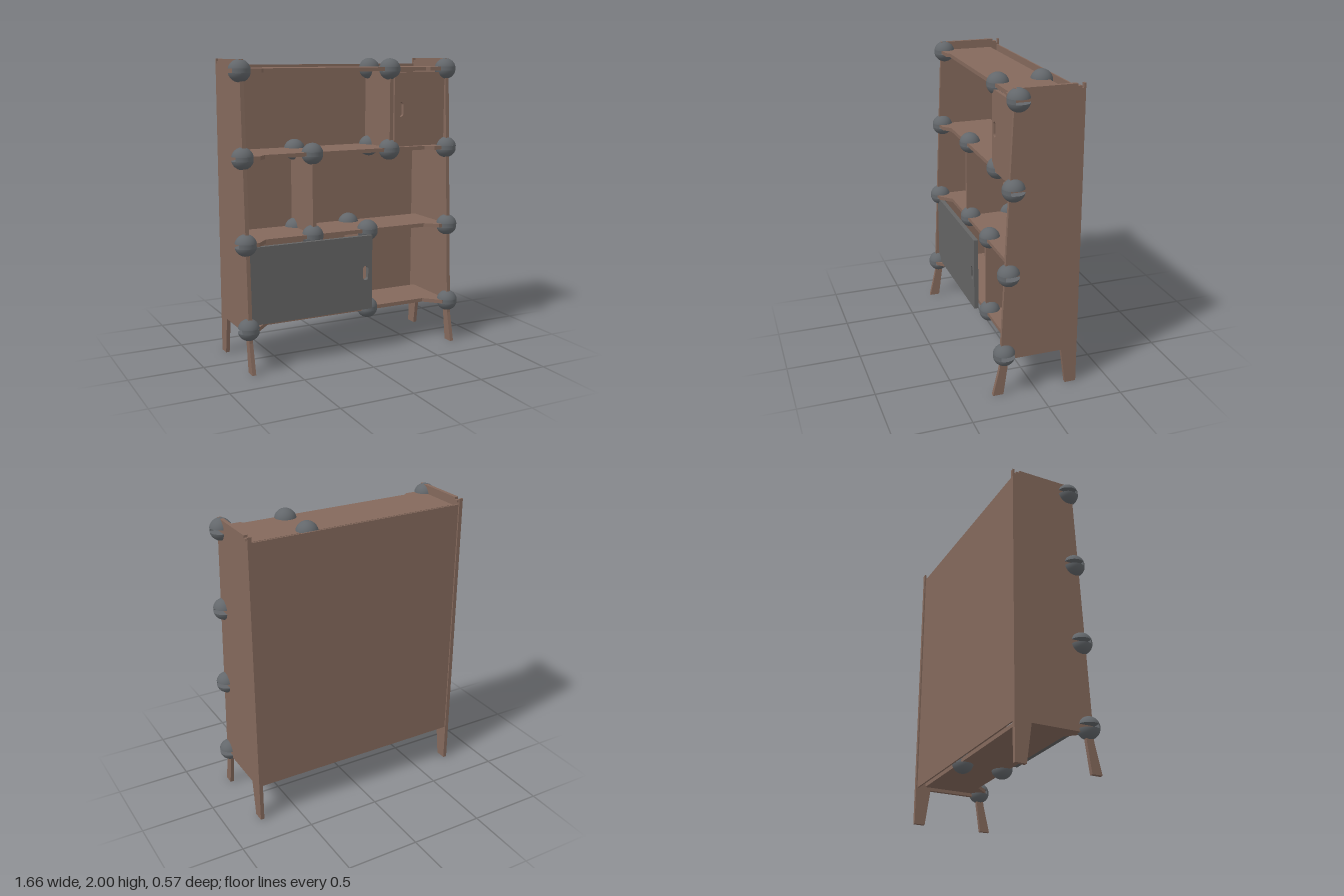
import * as THREE from 'three';
import { mergeGeometries } from 'three/addons/utils/BufferGeometryUtils.js';

const T = 0.026;              // board thickness
const R = 0.072;              // connector ball radius
const BACK = -0.215, FRONT = 0.135;
const LEVELS = [0.285, 0.835, 1.385, 1.93];
const SIDE_BALL_Z = [0.213, 0.186, 0.157, 0.13];

const polygon = (pts) => new THREE.Shape(pts.map(([x, y]) => new THREE.Vector2(x, y)));
const extrude = (shape, depth) =>
  new THREE.ExtrudeGeometry(shape, { depth, bevelEnabled: false, curveSegments: 12 });

// Ball with a horizontal slot open toward the back
function ballGeometry() {
  const h = T / 2 + 0.001;
  const rim = Math.sqrt(R * R - h * h);
  const dome = new THREE.SphereGeometry(R, 32, 12, 0, Math.PI * 2, 0, Math.acos(h / R));
  const disc = new THREE.CircleGeometry(rim, 32).rotateX(Math.PI / 2).translate(0, h, 0);
  const a = Math.asin(0.038 / rim);
  const web = new THREE.Shape();
  web.absarc(0, 0, rim, a, Math.PI - a, false);
  web.closePath();
  const webGeo = extrude(web, 2 * h).rotateX(Math.PI / 2).translate(0, h, 0);
  const parts = [dome, disc, dome.clone().rotateZ(Math.PI), disc.clone().rotateZ(Math.PI), webGeo];
  return mergeGeometries(parts.map((g) => (g.index ? g.toNonIndexed() : g)));
}

// Door leaf with a rounded finger slot
function doorGeometry(x0, x1, y0, y1, depth, slotX, slotY) {
  const s = polygon([[x0, y0], [x1, y0], [x1, y1], [x0, y1]]);
  const r = 0.02, half = 0.03;
  const hole = new THREE.Path();
  hole.absarc(slotX, slotY + half, r, 0, Math.PI, false);
  hole.absarc(slotX, slotY - half, r, Math.PI, Math.PI * 2, false);
  hole.closePath();
  s.holes.push(hole);
  return extrude(s, depth);
}

export function createModel() {
  const root = new THREE.Group();
  root.name = 'shelfUnit';
  const wood = new THREE.MeshStandardMaterial({ color: 0x84695c });
  wood.name = 'brownWood';
  const ballGrey = new THREE.MeshStandardMaterial({ color: 0x63676b });
  ballGrey.name = 'ballGrey';
  const doorGrey = new THREE.MeshStandardMaterial({ color: 0x646464 });
  doorGrey.name = 'doorGrey';

  const add = (name, geo, mat, x = 0, y = 0, z = 0) => {
    const m = new THREE.Mesh(geo, mat);
    m.name = name;
    m.position.set(x, y, z);
    root.add(m);
    return m;
  };

  // Side panels with integral legs and a small groove at the top rear
  const side = extrude(polygon([
    [-0.285, 0], [-0.21, 0], [-0.175, 0.25], [0.185, 0.25], [0.22, 0], [0.29, 0],
    [0.243, 0.2], [0.155, 2], [-0.235, 2], [-0.235, 1.985], [-0.26, 1.985], [-0.26, 1.97],
    [-0.272, 1.97], [-0.272, 2], [-0.285, 2],
  ]), T).rotateY(-Math.PI / 2).translate(T / 2, 0, 0);
  add('leftSide', side, wood, 0.757);
  add('rightSide', side, wood, -0.757);

  // Thin back board
  add('backBoard', new THREE.BoxGeometry(1.5, 1.7, 0.01), wood, 0, 1.11, -0.27);

  // Shelves with ends flaring forward to the side panels
  LEVELS.forEach((y, i) => {
    const f = SIDE_BALL_Z[i] + 0.028;
    const flare = 0.6 + Math.min(0.1, f - FRONT);
    const geo = extrude(polygon([
      [-0.745, BACK], [0.745, BACK], [0.745, f], [flare, f], [0.6, FRONT],
      [-0.6, FRONT], [-flare, f], [-0.745, f],
    ]), T).rotateX(Math.PI / 2);
    add('shelf', geo, wood, 0, y + T / 2, 0);
  });

  // Connector balls on the side panels
  const ball = ballGeometry();
  LEVELS.forEach((y, i) => {
    for (const s of [-1, 1]) add('sideBall', ball, ballGrey, s * 0.76, y, SIDE_BALL_Z[i]);
  });

  // Upright dividers, held by front and rear balls at both ends
  [[0.165, 0], [-0.252, 1], [0.33, 2]].forEach(([x, i]) => {
    const y0 = LEVELS[i] + T / 2, y1 = LEVELS[i + 1] - T / 2;
    add('divider', new THREE.BoxGeometry(T, y1 - y0, FRONT - BACK), wood,
      x, (y0 + y1) / 2, (FRONT + BACK) / 2);
    for (const y of [LEVELS[i], LEVELS[i + 1]]) {
      add('frontBall', ball, ballGrey, x, y, FRONT - 0.03);
      add('rearBall', ball, ballGrey, x, y, BACK + 0.03).rotation.y = Math.PI;
    }
  });

  // Doors
  add('lowerDoor', doorGeometry(-0.744, 0.145, 0.305, 0.819, 0.03, 0.095, 0.56), doorGrey, 0, 0, 0.18);
  add('upperDoor', doorGeometry(0.345, 0.743, 1.405, 1.908, 0.025, 0.395, 1.658), wood, 0, 0, 0.124);
  return root;
}
